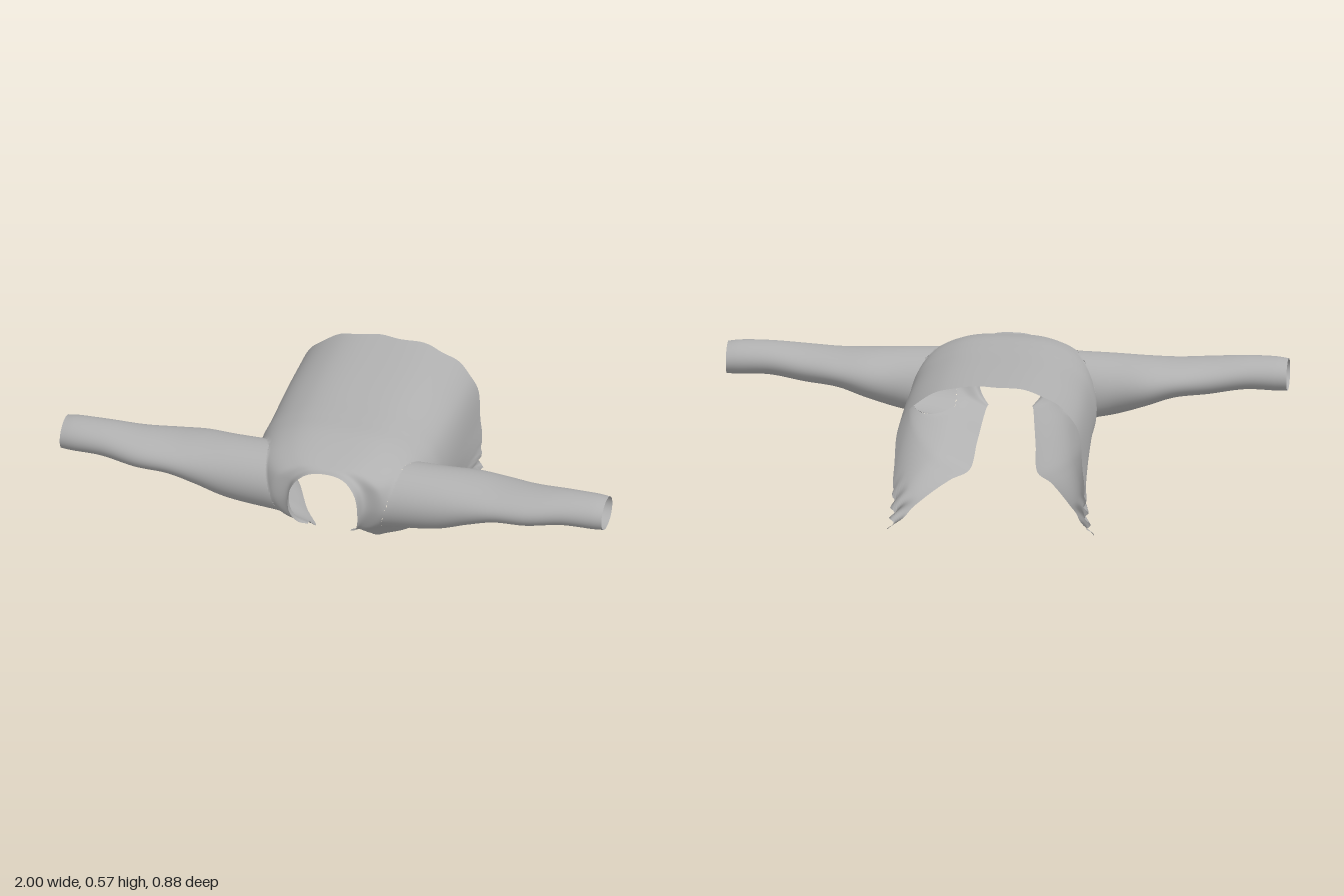
import * as THREE from 'three';

const V = (x, y, z) => new THREE.Vector3(x, y, z);
const ARM = { y: 0.37, z: 0.25, ry: 0.12, rz: 0.13 }; // armhole ellipse in y/z

// Body stations, hem to collar: z, top y, half width, front edge x and y,
// z offset of the side, z offset of the front edge
const BODY = [
  [-.43, .578, .338, .36, .008, -.004, .075],
  [-.2, .57, .335, .27, .063, 0, 0],
  [0, .562, .33, .18, .082, 0, 0],
  [.1, .56, .33, .12, .09, 0, 0],
  [.2, .556, .31, .105, .155, 0, 0],
  [.3, .535, .28, .09, .222, 0, -.01],
  [.36, .515, .21, .083, .245, .018, -.025],
  [.385, .506, .14, .08, .25, .006, -.043],
  [.408, .505, .128, .078, .25, .028, -.058],
];

// Sleeve sections: x, centre y, centre z, radius y, radius z
const SLEEVE = [
  [.39, .38, .247, .106, .129], [.5, .396, .242, .085, .13], [.6, .41, .25, .066, .12],
  [.72, .417, .265, .063, .104], [.85, .431, .267, .058, .083], [.96, .43, .265, .059, .075],
  [1, .428, .263, .056, .071],
];

// Arched cross-section: flat back, rounded shoulders, sides curling to the front edge
function bodyCurve([z, top, w, ex, ey, side, edge]) {
  const h = top - ey;
  const half = [
    V(0, top, z),
    V(w * 0.55, top - h * 0.045, z + side * 0.3),
    V(w * 0.91, top - h * 0.22, z + side),
    V(w, ey + h * 0.43, z + side),
    V(w + (ex - w) * 0.4, ey + h * 0.13, z + (side + edge) / 2),
    V(ex, ey, z + edge),
  ];
  const other = half.slice(1).reverse().map(p => V(-p.x, p.y, p.z));
  return new THREE.CatmullRomCurve3([...other, ...half]);
}

// Skins a grid of points; wrap closes the columns, skip leaves quads out
function skin(rows, { wrap = false, flip = false, skip = () => false }) {
  const n = rows[0].length, index = [];
  for (let r = 0; r < rows.length - 1; r++) {
    for (let c = 0; c < (wrap ? n : n - 1); c++) {
      if (skip(r, c)) continue;
      const c2 = (c + 1) % n;
      const a = r * n + c, b = r * n + c2, d = a + n, e = b + n;
      if (flip) index.push(a, d, b, b, d, e);
      else index.push(a, b, d, b, e, d);
    }
  }
  const geo = new THREE.BufferGeometry().setFromPoints(rows.flat());
  geo.setIndex(index);
  geo.computeVertexNormals();
  return geo;
}

// Body points, with hem creases and vertices snapped around the armholes
function bodyGrid(nu, nv) {
  const curves = BODY.map(bodyCurve);
  const rows = Array.from({ length: nv + 1 }, () => []);
  const inside = rows.map(() => []);
  for (let c = 0; c <= nu; c++) {
    const u = c / nu;
    const rib = new THREE.CatmullRomCurve3(curves.map(k => k.getPoint(u)));
    for (let r = 0; r <= nv; r++) {
      const p = rib.getPoint(r / nv);
      const hem = Math.max(0, 1 - r / nv * 8);
      const low = THREE.MathUtils.clamp((0.2 - p.y) / 0.08, 0, 1);
      p.x += Math.sign(p.x) * 0.01 * hem * low * Math.sin(p.y * 130);
      p.z += 0.006 * hem * hem * Math.sin(u * 75);
      const dy = (p.y - ARM.y) / ARM.ry, dz = (p.z - ARM.z) / ARM.rz;
      const d = Math.hypot(dy, dz);
      inside[r][c] = d < 1 && Math.abs(p.x) > 0.15;
      if (inside[r][c]) {
        p.y = ARM.y + dy / d * ARM.ry;
        p.z = ARM.z + dz / d * ARM.rz;
      }
      rows[r][c] = p;
    }
  }
  return { rows, inside };
}

// Sleeve points: the first ring follows the armhole edge
function sleeveGrid(side, rim, n, steps) {
  const rows = Array.from({ length: steps + 1 }, () => []);
  for (let c = 0; c < n; c++) {
    const a = c / n * Math.PI * 2, cs = Math.cos(a), sn = Math.sin(a);
    const start = V(0, ARM.y + ARM.ry * cs, ARM.z + ARM.rz * sn);
    let best = Infinity;
    for (const p of rim) {
      const d = Math.hypot(p.y - start.y, p.z - start.z);
      if (d < best) { best = d; start.x = p.x; }
    }
    const line = new THREE.CatmullRomCurve3([start,
      ...SLEEVE.map(([x, y, z, ry, rz]) => V(x, y + ry * cs, z + rz * sn))]);
    for (let r = 0; r <= steps; r++) {
      const p = line.getPoint(r / steps);
      p.x *= side;
      rows[r][c] = p;
    }
  }
  return rows;
}

export function createModel() {
  const group = new THREE.Group();
  const cloth = new THREE.MeshStandardMaterial({ color: 0xb0b0b0, side: THREE.DoubleSide });
  cloth.name = 'grey cloth';
  const add = (name, geo) => {
    const mesh = new THREE.Mesh(geo, cloth);
    mesh.name = name;
    group.add(mesh);
  };

  // Open-fronted body with collar
  const { rows, inside } = bodyGrid(120, 96);
  const skip = (r, c) => inside[r][c] && inside[r][c + 1] && inside[r + 1][c] && inside[r + 1][c + 1];
  add('jacketBody', skin(rows, { flip: true, skip }));

  // Armhole rim on the left side
  const rim = [];
  rows.forEach((row, r) => row.forEach((p, c) => {
    const edge = [[1, 0], [-1, 0], [0, 1], [0, -1]].some(([i, j]) => !inside[r + i]?.[c + j]);
    if (p.x > 0 && inside[r][c] && edge) rim.push(p);
  }));

  // Mirrored sleeves, open at the cuffs
  for (const side of [1, -1]) {
    add(side > 0 ? 'leftSleeve' : 'rightSleeve',
      skin(sleeveGrid(side, rim, 48, 42), { wrap: true, flip: side < 0 }));
  }
  return group;
}
